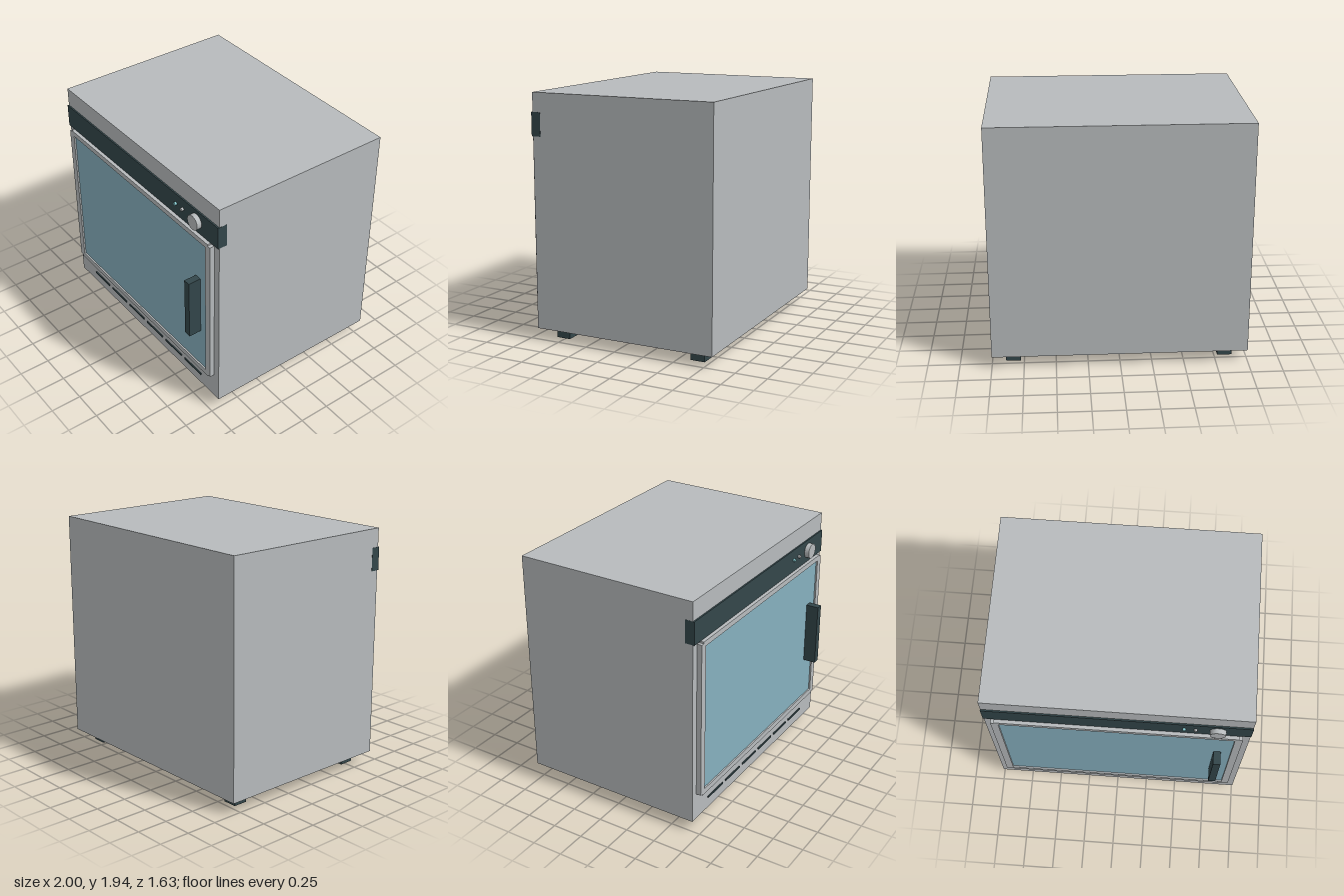
import * as THREE from 'three';

const material = (name, color) => {
  const m = new THREE.MeshStandardMaterial({ color });
  m.name = name;
  return m;
};

export function createModel() {
  const steel = material('brushed steel', 0xb7bbbd);
  const dark = material('dark trim', 0x33464a);
  const glass = material('blue glass', 0x86b0be);
  const lamp = material('lamp cyan', 0x84c6cc);

  const model = new THREE.Group();
  model.name = 'countertopOven';

  const add = (name, geometry, mat) => {
    const mesh = new THREE.Mesh(geometry, mat);
    mesh.name = name;
    model.add(mesh);
    return mesh;
  };
  // Box given by its minimum and maximum on each axis
  const box = (name, mat, [x0, x1], [y0, y1], [z0, z1]) =>
    add(name, new THREE.BoxGeometry(x1 - x0, y1 - y0, z1 - z0), mat)
      .position.set((x0 + x1) / 2, (y0 + y1) / 2, (z0 + z1) / 2);
  // Round part facing the front
  const disc = (name, mat, x, y, radius, z0, z1) =>
    add(name, new THREE.CylinderGeometry(radius, radius, z1 - z0, 32).rotateX(Math.PI / 2), mat)
      .position.set(x, y, (z0 + z1) / 2);

  // Cabinet and the control band that wraps its front corners
  box('cabinet', steel, [-1, 1], [0.09, 1.94], [-0.816, 0.685]);
  box('controlBand', dark, [-1.001, 1.001], [1.605, 1.79], [0.62, 0.697]);

  // Controls
  disc('knob', steel, 0.748, 1.7, 0.06, 0.69, 0.735);
  disc('cyanLamp', lamp, 0.497, 1.705, 0.013, 0.69, 0.715);
  disc('greyLamp', steel, 0.582, 1.705, 0.013, 0.69, 0.715);

  // Door frame with stepped corners and a window opening
  const [l, r, b, t, sx, sy] = [-0.945, 0.942, 0.3, 1.605, 0.027, 0.014];
  const points = (list) => list.map(([x, y]) => new THREE.Vector2(x, y));
  const frame = new THREE.Shape(points([
    [l + sx, b], [r - sx, b], [r - sx, b + sy], [r, b + sy],
    [r, t - sy], [r - sx, t - sy], [r - sx, t], [l + sx, t],
    [l + sx, t - sy], [l, t - sy], [l, b + sy], [l + sx, b + sy],
  ]));
  const [wl, wr, wb, wt] = [-0.888, 0.885, 0.345, 1.563];
  frame.holes.push(new THREE.Path(points([[wl, wb], [wl, wt], [wr, wt], [wr, wb]])));
  add('doorFrame', new THREE.ExtrudeGeometry(frame, { depth: 0.041, bevelEnabled: false }), steel)
    .position.z = 0.684;
  box('doorWindow', glass, [wl, wr], [wb, wt], [0.68, 0.712]);
  box('doorHandle', dark, [0.752, 0.809], [0.694, 1.21], [0.712, 0.816]);

  // Row of vent slots below the door
  for (let i = 0; i < 6; i++) {
    const x = (i - 2.5) * 0.266;
    box('ventSlot', dark, [x - 0.11, x + 0.11], [0.18, 0.195], [0.684, 0.693]);
  }

  // Four square feet
  for (const x of [-0.835, 0.835]) {
    for (const z of [-0.65, 0.52]) {
      box('foot', dark, [x - 0.058, x + 0.058], [0, 0.09], [z - 0.058, z + 0.058]);
    }
  }
  return model;
}
